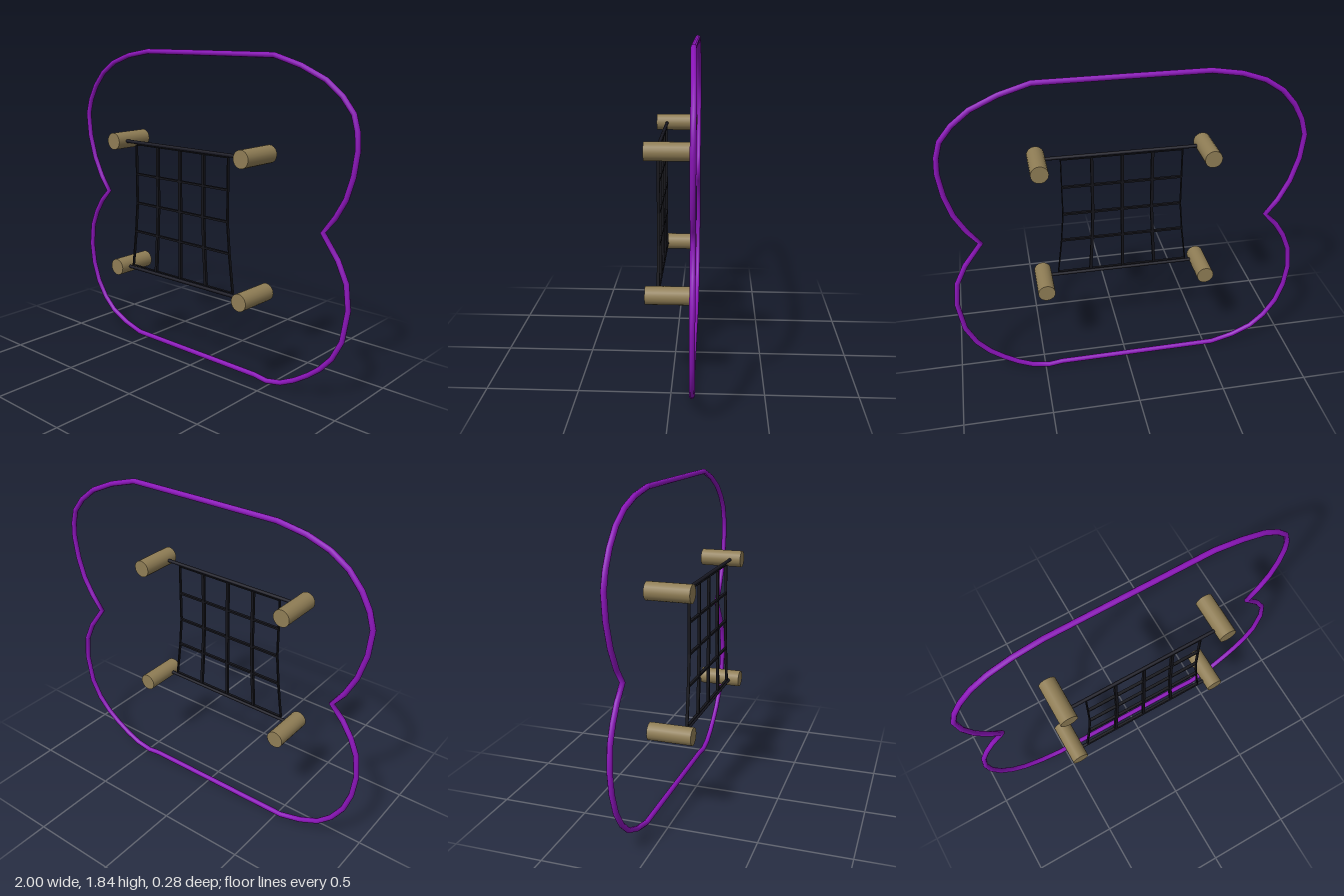
import * as THREE from 'three';

// Closed polyline as a curve whose even parameter steps land on its corners
class LoopCurve extends THREE.Curve {
  constructor(points) {
    super();
    this.points = points;
  }
  getPoint(t, target = new THREE.Vector3()) {
    const n = this.points.length;
    const f = t * n;
    const i = Math.min(Math.floor(f + 1e-9), n - 1);
    return target.lerpVectors(this.points[i], this.points[(i + 1) % n], f - i);
  }
  getPointAt(u, target) { return this.getPoint(u, target); }
  getTangentAt(u, target) { return this.getTangent(u, target); }
}

function material(color, flatShading = false) {
  return new THREE.MeshStandardMaterial({ color, flatShading });
}

function addMesh(parent, name, geometry, mat) {
  const mesh = new THREE.Mesh(geometry, mat);
  mesh.name = name;
  parent.add(mesh);
  return mesh;
}

// Purple outline: clockwise from the middle of the top edge
const OUTLINE = [
  [0, 1.823], [0.48, 1.823], [0.645, 1.775], [0.79, 1.71], [0.885, 1.635],
  [0.95, 1.555], [0.975, 1.47], [0.982, 1.38], [0.965, 1.25], [0.93, 1.13],
  [0.875, 1.03], [0.805, 0.94], [0.9, 0.81], [0.955, 0.695], [0.972, 0.555],
  [0.945, 0.38], [0.89, 0.27], [0.82, 0.19], [0.745, 0.13], [0.66, 0.075],
  [0.575, 0.035], [0.48, 0.017], [0.4, 0.028], [-0.54, 0.034], [-0.67, 0.07],
  [-0.785, 0.125], [-0.865, 0.2], [-0.93, 0.3], [-0.97, 0.42], [-0.985, 0.545],
  [-0.97, 0.68], [-0.93, 0.775], [-0.875, 0.86], [-0.805, 0.935], [-0.87, 1.02],
  [-0.93, 1.14], [-0.97, 1.28], [-0.982, 1.42], [-0.955, 1.51], [-0.905, 1.6],
  [-0.83, 1.685], [-0.73, 1.75], [-0.6, 1.795], [-0.435, 1.822],
];

function outlineGeometry() {
  // the right-hand side drifts slightly backwards
  const points = OUTLINE.map(([x, y]) =>
    new THREE.Vector3(x, y, -0.11 - 0.014 * THREE.MathUtils.smoothstep(x, 0.4, 0.98)));
  return new THREE.TubeGeometry(new LoopCurve(points), points.length, 0.015, 10, true);
}

// Net: a flaring panel with a grid of holes
function netGeometry(depth) {
  const centre = -0.008;
  const rows = [[1.3, 0.343], [1.127, 0.343], [0.954, 0.343], [0.78, 0.358], [0.562, 0.385]];
  const node = (row, col) =>
    new THREE.Vector2(centre + rows[row][1] * (col - 2) / 2, rows[row][0]);
  const edge = 0.003;
  const side = (i, sign) => node(i, sign > 0 ? 4 : 0).add(new THREE.Vector2(sign * edge, 0));
  const shape = new THREE.Shape([
    ...rows.map((_, i) => side(i, -1)),
    ...rows.map((_, i) => side(4 - i, 1)),
  ]);
  // half widths of the strands: thin at the rim, thicker inside
  const halfX = (col) => (col % 4 === 0 ? edge : 0.008);
  const halfY = (row) => (row % 4 === 0 ? edge : 0.0055);
  for (let r = 0; r < 4; r++) {
    for (let c = 0; c < 4; c++) {
      const corner = (dr, dc) => node(r + dr, c + dc).add(new THREE.Vector2(
        (dc ? -1 : 1) * halfX(c + dc),
        (dr ? 1 : -1) * halfY(r + dr)));
      shape.holes.push(new THREE.Path([corner(0, 0), corner(0, 1), corner(1, 1), corner(1, 0)]));
    }
  }
  return new THREE.ExtrudeGeometry(shape, { depth, bevelEnabled: false })
    .translate(0, 0, -depth / 2);
}

export function createModel() {
  const model = new THREE.Group();
  model.name = 'framedNet';
  const wood = material(0x8f7d55);
  const dark = material(0x1a1a24);
  const netZ = 0.074;

  addMesh(model, 'outlineTube', outlineGeometry(), material(0x8a14b8));

  // Pairs of wooden pegs, each pair joined by a bar
  const back = -0.108, front = 0.137;
  const pegGeometry = new THREE.CylinderGeometry(0.049, 0.049, front - back, 20).rotateX(Math.PI / 2);
  const levels = [
    { name: 'upper', y: 1.312, xs: [-0.479, 0.466] },
    { name: 'lower', y: 0.546, xs: [-0.473, 0.466] },
  ];
  for (const { name, y, xs } of levels) {
    xs.forEach((x, i) => {
      const peg = addMesh(model, name + (i ? 'LeftPeg' : 'RightPeg'), pegGeometry, wood);
      peg.position.set(x, y, (front + back) / 2);
    });
    const bar = addMesh(model, name + 'Bar',
      new THREE.CylinderGeometry(0.01, 0.01, xs[1] - xs[0], 10).rotateZ(Math.PI / 2), dark);
    bar.position.set((xs[0] + xs[1]) / 2, y, netZ);
  }

  const net = addMesh(model, 'net', netGeometry(0.016), material(0x14141a));
  net.position.z = netZ;
  return model;
}
